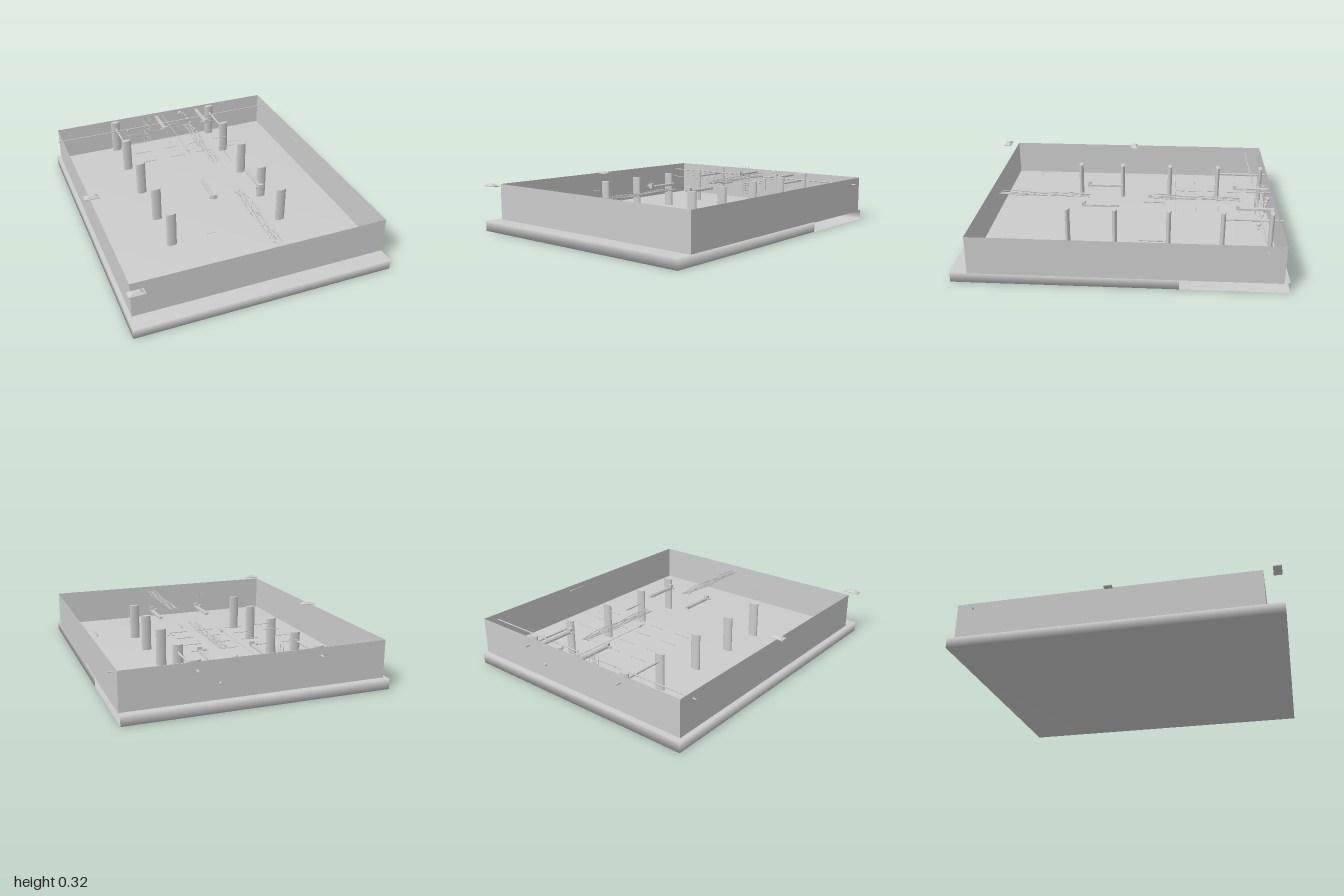
import * as THREE from 'three';

const mat = new THREE.MeshStandardMaterial({ color: 0xcccccc, side: THREE.DoubleSide });
const flat = new THREE.MeshStandardMaterial({ color: 0xcccccc, side: THREE.DoubleSide, flatShading: true });

export function createModel() {
  const root = new THREE.Group();
  const add = (name, geo, x = 0, y = 0, z = 0, m = mat) => {
    const mesh = new THREE.Mesh(geo, m);
    mesh.name = name;
    mesh.position.set(x, y, z);
    root.add(mesh);
    return mesh;
  };
  const box = (name, w, h, d, x, y, z) => add(name, new THREE.BoxGeometry(w, h, d), x, y, z);
  const rod = (name, a, b, r, sides = 8) => {
    const p = new THREE.Vector3(...a), q = new THREE.Vector3(...b);
    const mesh = add(name, new THREE.CylinderGeometry(r, r, p.distanceTo(q), sides));
    mesh.position.copy(p).lerp(q, 0.5);
    mesh.quaternion.setFromUnitVectors(new THREE.Vector3(0, 1, 0), q.sub(p).normalize());
    return mesh;
  };

  // Floor slab with softly shared normals; its right side is open towards the back
  const outline = [[-0.835, -1], [0.81, -1], [0.81, -0.36], [0.81, 0.995], [-0.835, 0.995]];
  const n = outline.length, pos = [], idx = [];
  for (const y of [0.065, 0]) for (const [x, z] of outline) pos.push(x, y, z);
  for (let i = 1; i < n - 1; i++) idx.push(0, i + 1, i, n, n + i, n + i + 1);
  for (let i = 0; i < n; i++) {
    if (i === 1) continue;
    const j = (i + 1) % n;
    idx.push(n + j, n + i, i, n + j, i, j);
  }
  const slab = new THREE.BufferGeometry();
  slab.setAttribute('position', new THREE.Float32BufferAttribute(pos, 3));
  slab.setIndex(idx);
  slab.computeVertexNormals();
  add('floorSlab', slab);

  // Thin walls
  const y0 = 0.06, y1 = 0.3, zf = 0.89, zb = -0.965, wx = 0.81;
  const wall = (name, w, x, z, turn) => {
    add(name, new THREE.PlaneGeometry(w, y1 - y0), x, (y0 + y1) / 2, z).rotation.y = turn;
  };
  wall('frontWall', 2 * wx, 0, zf, 0);
  wall('backWall', 2 * wx, 0, zb, Math.PI);
  wall('leftWall', zf - zb, wx, (zf + zb) / 2, Math.PI / 2);
  wall('rightWall', zf - zb, -wx, (zf + zb) / 2, -Math.PI / 2);

  // Flattened oval pillars in two rows
  for (const x of [-0.385, 0.37])
    for (const z of [-0.93, -0.63, -0.29, 0.05, 0.35])
      add('pillar', new THREE.CylinderGeometry(1, 1, 0.26, 20), x, 0.17, z).scale.set(0.033, 1, 0.015);

  // Lamps on the right wall: a thin plate with a shallow bevelled cap
  for (const z of [-0.01, 0.97]) {
    box('lampPlate', 0.1, 0.005, 0.05, -0.795, 0.297, z);
    const cap = new THREE.CylinderGeometry(0.35, Math.SQRT1_2, 0.012, 4);
    cap.rotateY(Math.PI / 4);
    add('lampCap', cap, -0.795, 0.305, z, flat).scale.set(0.09, 1, 0.045);
  }

  // Cross pipe and the two beams beneath it
  rod('crossPipe', [-0.835, 0.26, -0.86], [0.84, 0.26, -0.86], 0.004);
  for (const x of [-0.385, 0.37]) {
    rod('beam', [x, 0.25, -1], [x, 0.25, -0.63], 0.007);
    box('beamClamp', 0.022, 0.018, 0.01, x, 0.25, -0.84);
  }
  for (const x of [-0.245, -0.06, 0.06, 0.245]) box('pipeClip', 0.008, 0.012, 0.01, x, 0.26, -0.86);

  // Central wire with its small junction box
  rod('centreWire', [-0.005, 0.275, -0.965], [-0.005, 0.275, -0.33], 0.0025, 6);
  box('junctionBox', 0.015, 0.012, 0.018, -0.002, 0.275, -0.38);

  // Rows of short hanging bars
  for (const z of [-0.73, -0.6, -0.46, -0.33])
    for (const x of [-0.305, -0.1, 0.09, 0.27])
      rod('hangingBar', [x - 0.054, 0.28, z], [x + 0.054, 0.28, z], 0.0025, 6);
  rod('looseBar', [-0.245, 0.28, 0.6], [-0.18, 0.28, 0.6], 0.0015, 6);
  rod('looseBar', [0.3, 0.28, -0.38], [0.37, 0.28, -0.38], 0.0015, 6);

  // Long fittings, each with a hook bracket at its front end
  for (const x of [-0.055, 0.27])
    for (const z of [-0.84, 0.14]) {
      box('fittingTray', 0.025, 0.008, 0.22, x, 0.277, z);
      rod('fittingTube', [x - 0.006, 0.283, z - 0.11], [x - 0.006, 0.283, z + 0.11], 0.005);
      rod('fittingTube', [x + 0.006, 0.283, z - 0.11], [x + 0.006, 0.283, z + 0.11], 0.005);
      box('fittingEnd', 0.028, 0.03, 0.018, x, 0.288, z + 0.115);
      rod('hookArm', [x - 0.03, 0.28, z + 0.11], [x, 0.28, z + 0.11], 0.004);
      add('hookKnob', new THREE.SphereGeometry(0.008, 10, 8), x - 0.03, 0.285, z + 0.11);
    }

  // Narrow wedges near the left side
  for (const x of [0.22, 0.76]) {
    const wedge = rod('wedge', [x, 0.288, -0.12], [x, 0.288, -0.26], 0.004);
    wedge.geometry = new THREE.CylinderGeometry(0.007, 0.003, 0.14, 4);
  }

  // Two bundles of wavy cables
  for (const z0 of [-0.75, 0.23])
    for (let k = 0; k < 6; k++) {
      const pts = [];
      for (let i = 0; i <= 12; i++)
        pts.push(new THREE.Vector3(
          0.09 + k * 0.011 + 0.005 * Math.sin(i * 1.1 + k * 2.1),
          0.28 + 0.004 * Math.sin(i * 0.8 + k),
          z0 + i * 0.05));
      add('cable', new THREE.TubeGeometry(new THREE.CatmullRomCurve3(pts), 40, 0.0025, 5));
    }

  // Thin upright rods tied by fine rings
  for (const x of [-0.155, -0.125])
    for (const z of [-0.94, -0.9]) rod('uprightRod', [x, 0.1, z], [x, 0.322, z], 0.0018, 6);
  for (let y = 0.11; y < 0.28; y += 0.02) {
    const ring = add('rodTie', new THREE.TorusGeometry(0.024, 0.0012, 5, 16), -0.14, y, -0.92);
    ring.rotation.x = Math.PI / 2;
  }

  // Jointed arm made from a falling chain of knobs
  const chain = new THREE.CatmullRomCurve3([
    [0.13, 0.29, -0.925], [0.165, 0.27, -0.91], [0.19, 0.22, -0.9], [0.215, 0.17, -0.875], [0.245, 0.13, -0.865],
  ].map(p => new THREE.Vector3(...p)));
  add('armCore', new THREE.TubeGeometry(chain, 30, 0.005, 8));
  for (let i = 0; i < 8; i++) {
    const p = chain.getPoint(i / 7);
    add('armKnob', new THREE.SphereGeometry(i % 3 ? 0.009 : 0.014, 14, 10), p.x, p.y, p.z);
  }
  rod('armFinger', [0.11, 0.28, -0.935], [0.14, 0.28, -0.905], 0.004);

  // Upright panel under the pipe and small knobs by the back wall
  box('panel', 0.09, 0.08, 0.004, 0.05, 0.2, -0.86);
  add('wallKnob', new THREE.SphereGeometry(0.01, 12, 8), -0.29, 0.2, -0.95);
  add('wallKnob', new THREE.SphereGeometry(0.01, 12, 8), 0.235, 0.16, -0.967);

  return root;
}
